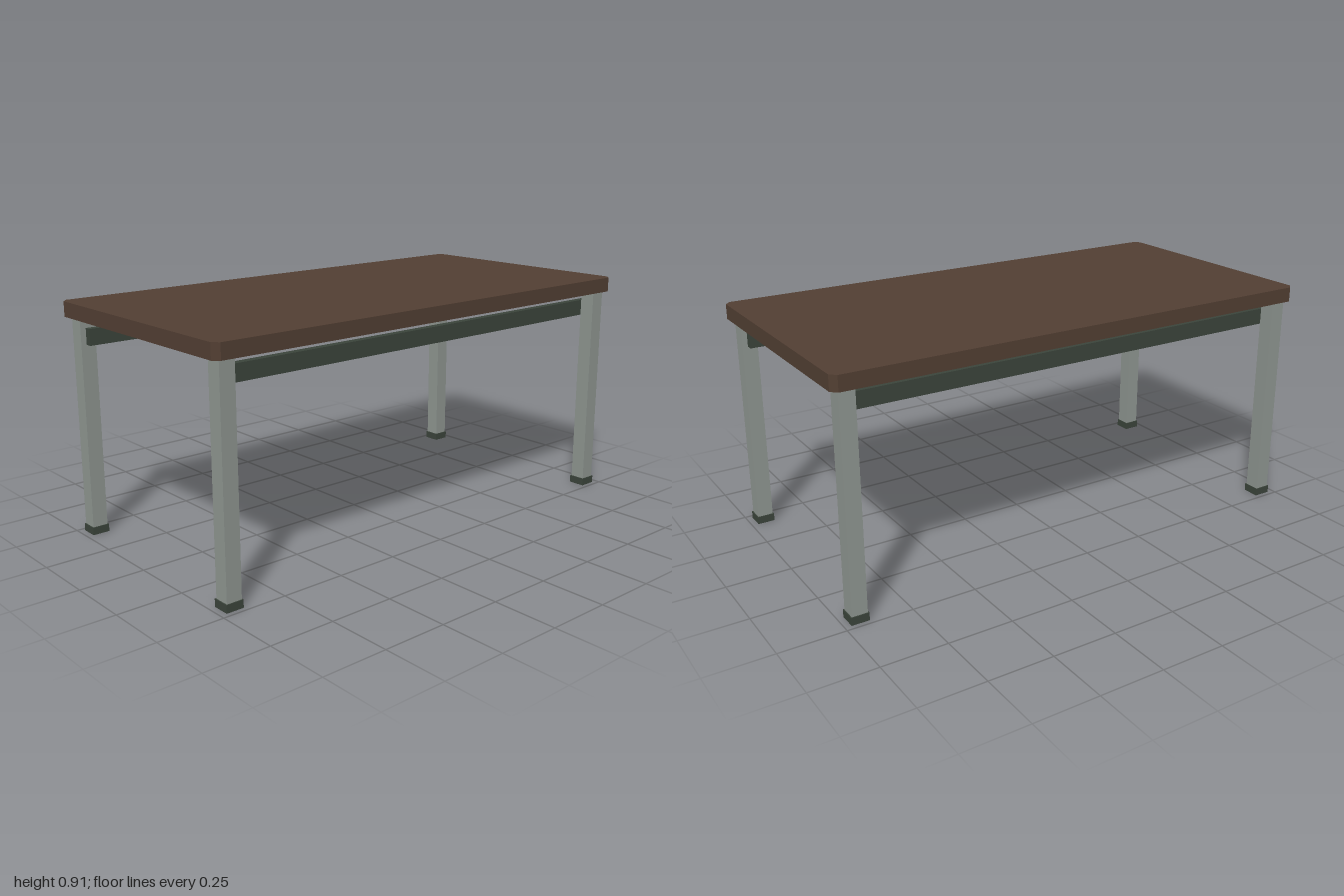
import * as THREE from 'three';

export function createModel() {
  const group = new THREE.Group();
  const material = (name, color) => {
    const m = new THREE.MeshStandardMaterial({ color });
    m.name = name;
    return m;
  };
  const wood = material('brown wood', 0x523f33);
  const steel = material('grey steel', 0x8f9691);
  const dark = material('dark green metal', 0x3b443b);

  const add = (name, geometry, mat, x, y, z) => {
    const mesh = new THREE.Mesh(geometry, mat);
    mesh.name = name;
    mesh.position.set(x, y, z);
    group.add(mesh);
  };

  // Table top: slab with cut corners
  const w = 1, d = 0.5, c = 0.022;
  const outline = new THREE.Shape([
    [-w + c, -d], [w - c, -d], [w, -d + c], [w, d - c],
    [w - c, d], [-w + c, d], [-w, d - c], [-w, -d + c],
  ].map(([x, y]) => new THREE.Vector2(x, y)));
  const slab = new THREE.ExtrudeGeometry(outline, { depth: 0.058, bevelEnabled: false });
  slab.rotateX(-Math.PI / 2);
  add('tableTop', slab, wood, 0, 0.85, 0);

  // Square legs on slightly wider feet, and a long rail inside each pair
  const leg = new THREE.BoxGeometry(0.06, 0.82, 0.06);
  const foot = new THREE.BoxGeometry(0.068, 0.03, 0.068);
  const rail = new THREE.BoxGeometry(1.9, 0.063, 0.028);
  for (const [side, sz] of [['front', 1], ['back', -1]]) {
    for (const [end, sx] of [['Left', 1], ['Right', -1]]) {
      add(side + end + 'Leg', leg, steel, sx * 0.941, 0.44, sz * 0.447);
      add(side + end + 'Foot', foot, dark, sx * 0.941, 0.015, sz * 0.447);
    }
    add(side + 'Rail', rail, dark, 0, 0.779, sz * 0.402);
  }
  return group;
}
